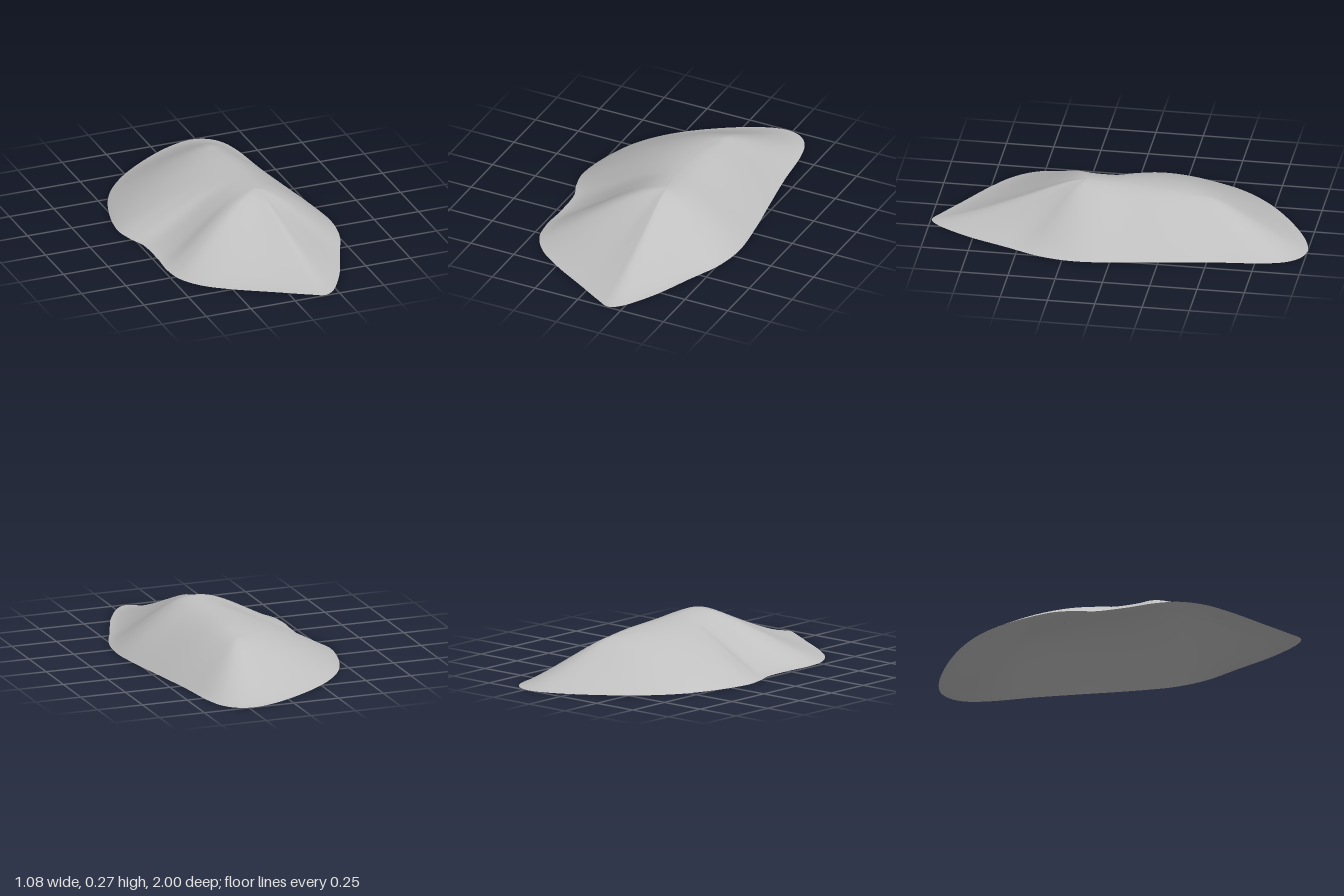
import * as THREE from 'three';

// Foot of the mound seen from above: x, z and how hollow the slope above it is
const OUTLINE = [
  [0.22, -1, 1.3], [0.3, -0.98, 1.3], [0.36, -0.92, 1.25], [0.4, -0.8, 1.15],
  [0.43, -0.55, 1.05], [0.47, -0.3, 1], [0.51, -0.06, 1], [0.535, 0.17, 1],
  [0.51, 0.36, 1.15], [0.43, 0.56, 1.35], [0.33, 0.8, 1.35], [0.22, 0.97, 1.3],
  [0.17, 0.995, 1.3], [0.1, 0.96, 1.3], [-0.05, 0.87, 1.3], [-0.25, 0.75, 1.25],
  [-0.38, 0.65, 1.2], [-0.46, 0.53, 1.12], [-0.48, 0.42, 1.15], [-0.475, 0.25, 1.4],
  [-0.48, 0.1, 1.4], [-0.52, -0.02, 1.15], [-0.54, -0.14, 1], [-0.51, -0.32, 0.95],
  [-0.43, -0.53, 1], [-0.3, -0.7, 1.08], [-0.1, -0.86, 1.2], [0.1, -0.97, 1.28],
];

// Crest line, from the back shoulder to the summit
const CREST = new THREE.CatmullRomCurve3([
  [0.1, 0.222, -0.42], [0.09, 0.24, -0.28], [0.09, 0.254, -0.02], [0.11, 0.268, 0.18],
].map((p) => new THREE.Vector3(...p)));

// Rounded cone: level at the crest (t = 0), straight towards the foot (t = 1)
function slope(t, round, hollow) {
  const fall = (Math.hypot(t, round) - round) / (Math.hypot(1, round) - round);
  return Math.pow(Math.max(0, 1 - fall), hollow);
}

function moundGeometry(around, rings) {
  const foot = new THREE.CatmullRomCurve3(
    OUTLINE.map(([x, z, hollow]) => new THREE.Vector3(x, hollow, z)), true);
  const pos = [], index = [];
  for (let i = 0; i < around; i++) {
    const f = foot.getPoint(i / around);
    const c = CREST.getPoint(THREE.MathUtils.smoothstep(f.z, -0.85, 0.5));
    const round = 0.45 - (f.z > 0 ? 0.3 : 0.2) * THREE.MathUtils.smoothstep(Math.abs(f.z), 0.2, 0.9);
    for (let j = 0; j <= rings; j++) {
      const t = j / rings;
      pos.push(
        THREE.MathUtils.lerp(c.x, f.x, t),
        c.y * slope(t, round, f.y),
        THREE.MathUtils.lerp(c.z, f.z, t));
      if (j < rings) {
        const a = i * (rings + 1) + j;
        const b = ((i + 1) % around) * (rings + 1) + j;
        index.push(a, b + 1, a + 1, a, b, b + 1);
      }
    }
  }
  const geo = new THREE.BufferGeometry();
  geo.setAttribute('position', new THREE.Float32BufferAttribute(pos, 3));
  geo.setIndex(index);
  geo.computeVertexNormals();
  return geo;
}

export function createModel() {
  const group = new THREE.Group();
  group.name = 'mound';
  // Open shell, seen from both sides
  const stone = new THREE.MeshStandardMaterial({ color: 0xc0c0c0, side: THREE.DoubleSide });
  stone.name = 'light grey';
  const shell = new THREE.Mesh(moundGeometry(168, 28), stone);
  shell.name = 'moundSurface';
  group.add(shell);
  return group;
}
